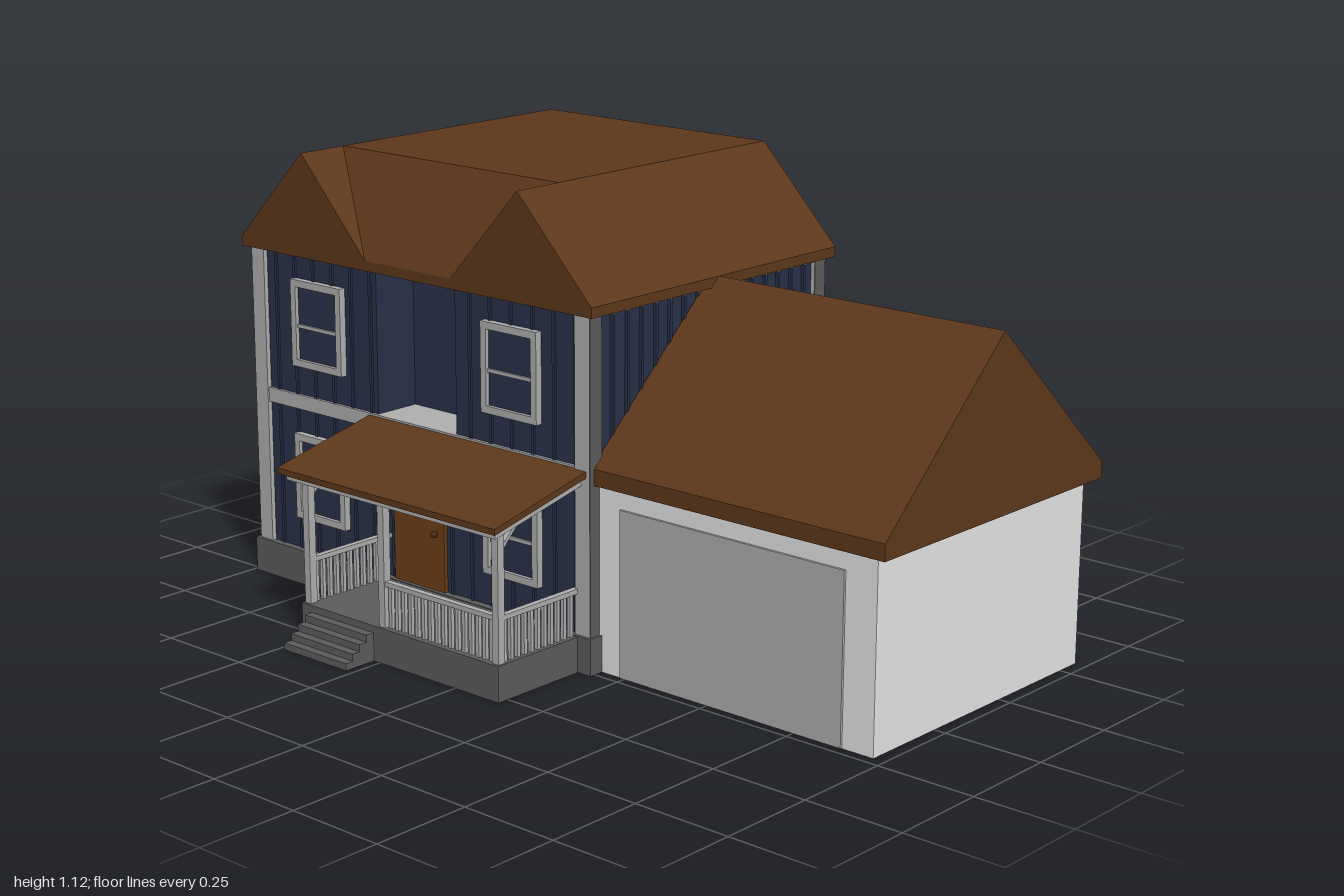
import * as THREE from 'three';

const mat = (name, color) => {
  const m = new THREE.MeshStandardMaterial({ color });
  m.name = name;
  return m;
};

export function createModel() {
  const model = new THREE.Group();
  model.name = 'houseWithGarage';
  const roofBrown = mat('roofBrown', 0x5e381b);
  const siding = mat('navySiding', 0x29324a);
  const trim = mat('greyTrim', 0xb0b0b0);
  const stone = mat('foundationGrey', 0x5d5d5d);
  const garageWall = mat('garageWall', 0xebebeb);
  const garageDoorGrey = mat('garageDoorGrey', 0xb0b0b0);
  const doorBrown = mat('doorBrown', 0x6e3f18);
  const knobBrown = mat('knobBrown', 0x4a2a16);

  const group = (name, parent = model) => {
    const g = new THREE.Group();
    g.name = name;
    parent.add(g);
    return g;
  };
  const add = (parent, name, geo, material) => {
    const m = new THREE.Mesh(geo, material);
    m.name = name;
    parent.add(m);
    return m;
  };
  // Box given by its limits on each axis
  const box = (parent, name, material, x0, x1, y0, y1, z0, z1) => {
    const m = add(parent, name, new THREE.BoxGeometry(x1 - x0, y1 - y0, z1 - z0), material);
    m.position.set((x0 + x1) / 2, (y0 + y1) / 2, (z0 + z1) / 2);
    return m;
  };
  // Prism from a (z, y) outline, running from x0 to x1
  const prism = (parent, name, material, outline, x0, x1) => {
    const shape = new THREE.Shape(outline.map(([z, y]) => new THREE.Vector2(-z, y)));
    const geo = new THREE.ExtrudeGeometry(shape, { depth: x1 - x0, bevelEnabled: false });
    geo.rotateY(Math.PI / 2).translate(x0, 0, 0);
    return add(parent, name, geo, material);
  };
  // Hollow plinth: four low walls under a slab
  const plinth = (parent, name, x0, x1, z0, z1, top, t) => {
    const g = group(name, parent);
    box(g, 'plinthSide', stone, x0, x0 + t, 0, top, z0, z1);
    box(g, 'plinthSide', stone, x1 - t, x1, 0, top, z0, z1);
    box(g, 'plinthBack', stone, x0 + t, x1 - t, 0, top, z0, z0 + t);
    box(g, 'plinthFront', stone, x0 + t, x1 - t, 0, top, z1 - t, z1);
    box(g, 'plinthSlab', stone, x0 + t, x1 - t, top - 0.01, top, z0 + t, z1 - t);
  };

  // Foundation, porch deck and steps
  const base = group('foundation');
  plinth(base, 'houseFoundation', -0.99, 0.18, -0.62, 0.265, 0.09, 0.025);
  plinth(base, 'porchDeck', -0.52, 0.14, 0.255, 0.53, 0.088, 0.02);
  for (let i = 0; i < 4; i++) {
    box(base, 'step', stone, -0.485, -0.27, 0, 0.0176 * (4 - i), 0.52, 0.553 + i * 0.0225);
  }

  // House walls with an upstairs recess in the front
  const walls = group('walls');
  box(walls, 'mainWalls', siding, -0.97, 0.16, 0.09, 0.86, -0.59, 0.12);
  box(walls, 'lowerFrontWall', siding, -0.97, 0.16, 0.09, 0.49, 0.12, 0.245);
  box(walls, 'upperFrontWallRight', siding, -0.97, -0.54, 0.49, 0.86, 0.12, 0.245);
  box(walls, 'upperFrontWallLeft', siding, -0.27, 0.16, 0.49, 0.86, 0.12, 0.245);
  box(walls, 'recessFloor', trim, -0.54, -0.27, 0.47, 0.497, 0.12, 0.245);

  // Vertical siding battens
  const battens = group('battens');
  const w = 0.004;
  for (let x = -0.9; x < 0.13; x += 0.068) {
    box(battens, 'backBatten', siding, x - w, x + w, 0.09, 0.86, -0.597, -0.589);
    const inRecess = x > -0.55 && x < -0.26;
    box(battens, 'frontBatten', siding, x - w, x + w, 0.09, inRecess ? 0.46 : 0.86, 0.244, 0.25);
  }
  for (let z = -0.53; z < 0.21; z += 0.05) {
    box(battens, 'rightBatten', siding, -0.976, -0.969, 0.09, 0.85, z - w, z + w);
    box(battens, 'leftBatten', siding, 0.159, 0.168, 0.09, 0.85, z - w, z + w);
  }

  // Corner posts, belt course and frieze
  const trims = group('trim');
  for (const z of [-0.605, 0.217]) {
    for (const x of [-0.98, 0.125]) {
      box(trims, 'cornerPost', trim, x, x + 0.045, 0.09, 0.86, z, z + 0.04);
    }
    box(trims, 'cornerPostSide', stone, 0.17, 0.173, 0.09, 0.86, z, z + 0.04);
  }
  box(trims, 'frontBelt', trim, -0.94, 0.13, 0.46, 0.497, 0.24, 0.253);
  box(trims, 'backBelt', trim, -0.94, 0.13, 0.46, 0.497, -0.601, -0.585);
  for (const x of [-0.978, 0.158]) {
    box(trims, 'sideBelt', trim, x, x + 0.012, 0.46, 0.497, -0.57, 0.22);
    box(trims, 'sideFrieze', trim, x, x + 0.012, 0.85, 0.86, -0.57, 0.22);
  }

  // Sash window frames, facing +z before placing
  const windowFrame = (x, y, z, turn) => {
    const g = group('windowFrame');
    const a = 0.09, b = 0.111, t = 0.018;
    for (const s of [-1, 1]) {
      const cx = s * (a - t / 2), cy = s * (b - t / 2);
      box(g, 'windowSide', trim, cx - t / 2, cx + t / 2, -b, b, 0, 0.018);
      box(g, 'windowRail', trim, -a, a, cy - t / 2, cy + t / 2, 0, 0.018);
    }
    box(g, 'windowMidRail', trim, -a + t, a - t, -0.012, -0.003, 0, 0.013);
    box(g, 'windowPane', siding, -a + t, a - t, -b + t, b - t, 0, 0.008);
    g.position.set(x, y, z);
    g.rotation.y = turn;
  };
  for (const y of [0.287, 0.685]) {
    for (const x of [-0.742, -0.08]) windowFrame(x, y, 0.245, 0);
    for (const z of [-0.39, 0.02]) windowFrame(-0.97, y, z, -Math.PI / 2);
  }

  // Front door
  const door = group('frontDoor');
  box(door, 'doorPanel', doorBrown, -0.482, -0.308, 0.09, 0.41, 0.245, 0.255);
  add(door, 'doorKnob', new THREE.SphereGeometry(0.009, 12, 8), knobBrown).position.set(-0.33, 0.238, 0.268);

  // Main roof: flat top, side slopes, two front gables with a slope between
  const tri = [];
  const face = (...p) => {
    for (let i = 1; i < p.length - 1; i++) tri.push(...p[0], ...p[i], ...p[i + 1]);
  };
  const E = 0.883, T = 1.12, B = -0.622, F = 0.27, N = 0.13, e = 0.595, r = 0.365, v = 0.145;
  for (const s of [-1, 1]) {
    const half = (...p) => {
      const q = p.map(([x, y, z]) => [x * s, y, z]);
      face(...(s < 0 ? q : q.reverse()));
    };
    half([e, E, B], [e, E, F], [r, T, F], [r, T, B]);
    half([e, E, F], [v, E, F], [r, T, F]);
    half([v, E, F], [r, T, N], [r, T, F]);
  }
  face([-r, T, B], [-r, T, N], [r, T, N], [r, T, B]);
  face([-v, E, F], [v, E, F], [r, T, N], [-r, T, N]);
  face([-e, E, B], [-r, T, B], [r, T, B], [e, E, B]);
  const roofGeo = new THREE.BufferGeometry();
  roofGeo.setAttribute('position', new THREE.Float32BufferAttribute(tri, 3));
  roofGeo.computeVertexNormals();
  const roof = group('mainRoof');
  roof.position.x = -0.405;
  add(roof, 'roofSlopes', roofGeo, roofBrown);
  box(roof, 'roofEaves', roofBrown, -e, e, 0.858, E, B, F);

  // Porch roof, posts, braces and railings
  const porch = group('porch');
  prism(porch, 'porchRoof', roofBrown, [[0.245, 0.478], [0.557, 0.409], [0.557, 0.424], [0.245, 0.494]], -0.565, 0.16);
  prism(porch, 'porchRoofUnderside', trim, [[0.245, 0.457], [0.54, 0.393], [0.54, 0.414], [0.245, 0.479]], -0.55, 0.145);
  for (const x of [-0.505, -0.247, 0.125]) {
    box(porch, 'porchPost', trim, x - 0.01, x + 0.01, 0.088, 0.403, 0.502, 0.523);
  }
  for (const x of [-0.505, 0.125]) {
    prism(porch, 'postBrace', trim, [[0.503, 0.355], [0.503, 0.368], [0.45, 0.42], [0.44, 0.418]], x - 0.006, x + 0.006);
    box(porch, 'sideRail', trim, x - 0.008, x + 0.008, 0.19, 0.202, 0.25, 0.505);
    for (let z = 0.275; z < 0.5; z += 0.022) {
      box(porch, 'sideBaluster', trim, x - 0.005, x + 0.005, 0.088, 0.195, z - 0.005, z + 0.005);
    }
  }
  box(porch, 'frontRail', trim, -0.247, 0.125, 0.19, 0.202, 0.504, 0.52);
  for (let x = -0.225; x < 0.11; x += 0.022) {
    box(porch, 'frontBaluster', trim, x - 0.005, x + 0.005, 0.088, 0.195, 0.507, 0.517);
  }

  // Garage with gable roof
  const garage = group('garage');
  box(garage, 'garageWalls', garageWall, 0.165, 0.97, 0, 0.46, -0.565, 0.225);
  box(garage, 'garageDoor', garageDoorGrey, 0.24, 0.885, 0.002, 0.41, 0.222, 0.231);
  prism(garage, 'garageRoof', roofBrown,
    [[0.243, 0.457], [0.243, 0.497], [-0.175, 0.883], [-0.592, 0.497], [-0.592, 0.457]].reverse(), 0.165, 1);

  return model;
}
